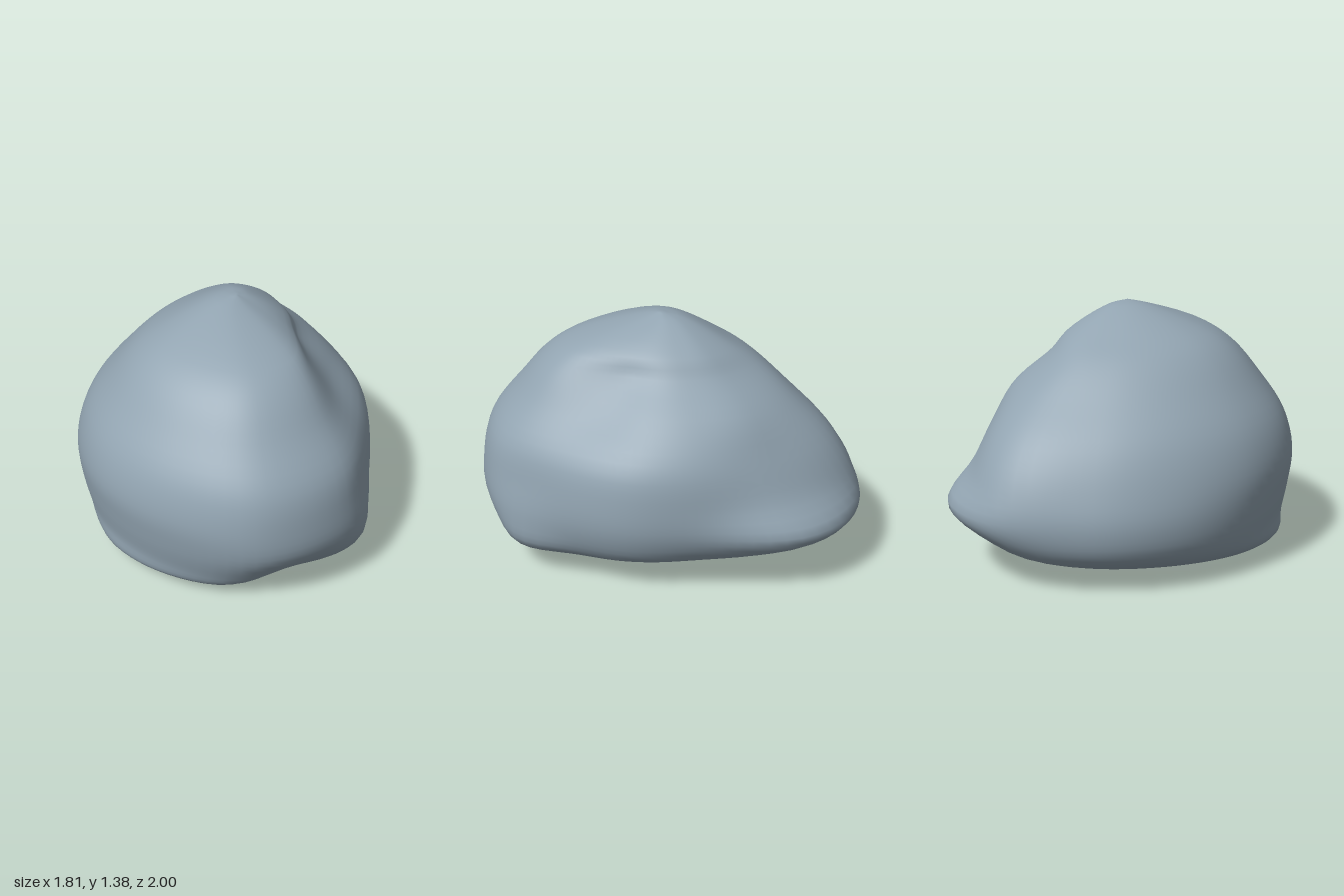
import * as THREE from 'three';
import { mergeVertices } from 'three/addons/utils/BufferGeometryUtils.js';

// Plan outline: radii every 30 degrees from +x towards +z
const OUTLINE = [0.78, 0.78, 0.82, 0.985, 1.03, 0.95, 0.91, 0.88, 0.89, 0.955, 1.04, 0.9];
const REACH = { left: 0.78, right: 0.91, front: 0.985, back: 0.955 };

// Girth by height: y, then how far the stone reaches to -x, +x, -z and +z
const GIRTH = [
  [0.03, 0.74, 0.12, 0.5, 0.57],
  [0.09, 0.85, 0.35, 0.75, 0.82],
  [0.2, 0.86, 0.66, 0.93, 0.92],
  [0.36, 0.89, 0.75, 0.97, 0.98],
  [0.55, 0.91, 0.76, 0.92, 0.98],
  [0.75, 0.86, 0.72, 0.82, 0.93],
  [0.95, 0.73, 0.58, 0.65, 0.78],
  [1.12, 0.59, 0.39, 0.48, 0.64],
  [1.22, 0.45, 0.31, 0.33, 0.5],
  [1.35, 0.12, 0.11, 0.1, 0.1],
];

// Local swellings and hollows: direction and spread in degrees, height and spread, depth
const BUMPS = [
  { angle: 324, spread: 25, y: 0.37, rise: 0.15, depth: 0.17 }, // rear lobe
  { angle: 335, spread: 18, y: 0.68, rise: 0.13, depth: -0.05 }, // saddle above the lobe
  { angle: 298, spread: 18, y: 0.62, rise: 0.18, depth: 0.04 }, // rear shoulder
  { angle: 50, spread: 30, y: 1.04, rise: 0.2, depth: -0.09 }, // scooped shoulder
  { angle: 76, spread: 13, y: 0.22, rise: 0.15, depth: 0.08 }, // front nose
  { angle: 108, spread: 16, y: 0.13, rise: 0.09, depth: -0.1 }, // notch under the front
];
const AROUND = 80;
const UP = 48;

function bumpAt(angle, y) {
  let sum = 0;
  for (const b of BUMPS) {
    const turn = ((angle - b.angle + 540) % 360) - 180;
    sum += b.depth * Math.exp(-((turn / b.spread) ** 2) - ((y - b.y) / b.rise) ** 2);
  }
  return sum;
}

// Smooth closed section at one height
function ring([y, right, left, back, front]) {
  const points = OUTLINE.map((r, i) => {
    const a = (i / OUTLINE.length) * Math.PI * 2;
    const x = r * Math.cos(a);
    const z = r * Math.sin(a);
    return new THREE.Vector3(
      x * (x > 0 ? left / REACH.left : right / REACH.right), y,
      z * (z > 0 ? front / REACH.front : back / REACH.back));
  });
  return new THREE.CatmullRomCurve3(points, true).getPoints(AROUND).map((p) => {
    const a = Math.atan2(p.z, p.x);
    const push = bumpAt((THREE.MathUtils.radToDeg(a) + 360) % 360, y);
    return p.add(new THREE.Vector3(push * Math.cos(a), 0, push * Math.sin(a)));
  });
}

// Skin the sections with smooth meridians running from base to summit
function boulderGeometry() {
  const rings = GIRTH.map(ring);
  const base = new THREE.Vector3(-0.25, 0, 0.12);
  const summit = new THREE.Vector3(0.01, 1.375, 0.02);
  const positions = [];
  const indices = [];
  for (let j = 0; j < AROUND; j++) {
    const meridian = new THREE.CatmullRomCurve3([base, ...rings.map((r) => r[j]), summit]);
    for (const p of meridian.getPoints(UP)) positions.push(p.x, Math.max(0, p.y), p.z);
    for (let i = 0; i < UP; i++) {
      const a = j * (UP + 1) + i;
      const b = ((j + 1) % AROUND) * (UP + 1) + i;
      if (i < UP - 1) indices.push(a, a + 1, b + 1);
      if (i > 0) indices.push(a, b + 1, b);
    }
  }
  const skin = new THREE.BufferGeometry();
  skin.setAttribute('position', new THREE.Float32BufferAttribute(positions, 3));
  skin.setIndex(indices);
  const geometry = mergeVertices(skin, 1e-5);
  geometry.computeVertexNormals();
  return geometry;
}

export function createModel() {
  const stone = new THREE.MeshStandardMaterial({ color: 0x92a4b1 });
  stone.name = 'blue grey stone';

  const boulder = new THREE.Mesh(boulderGeometry(), stone);
  boulder.name = 'boulder';

  const model = new THREE.Group();
  model.name = 'rock';
  model.add(boulder);
  return model;
}
